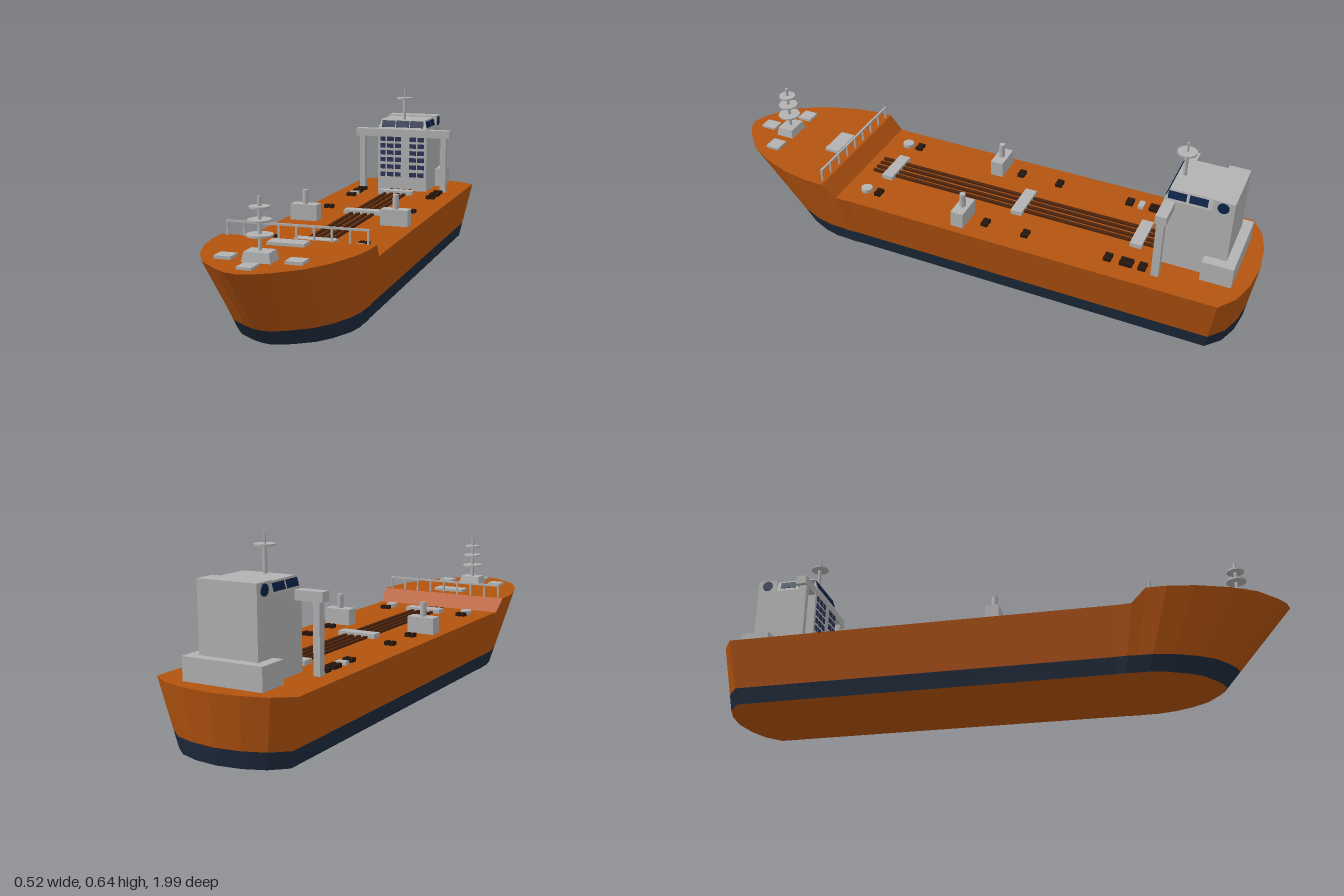
import * as THREE from 'three';

const mat = (name, color) => {
  const m = new THREE.MeshStandardMaterial({ color });
  m.name = name;
  return m;
};

export function createModel() {
  const ship = new THREE.Group();
  ship.name = 'tankerShip';
  const orange = mat('hullOrange', 0xb3530f);
  const navy = mat('lowerHullNavy', 0x1e2a3c);
  const grey = mat('fittingGrey', 0xb2b2b2);
  const brown = mat('pipeBrown', 0x4c240c);
  const dark = mat('bollardDark', 0x27170e);
  const bridgeGlass = mat('bridgeGlass', 0x0b2348);
  const cabinGlass = mat('cabinGlass', 0x2b3358);

  const add = (name, geo, material, x, y, z) => {
    const m = new THREE.Mesh(geo, material);
    m.name = name;
    m.position.set(x, y, z);
    ship.add(m);
    return m;
  };
  // Box given by its centre in x and z and its bottom and top heights
  const box = (name, material, x, z, w, d, y0, y1) =>
    add(name, new THREE.BoxGeometry(w, y1 - y0, d), material, x, (y0 + y1) / 2, z);
  const post = (name, material, x, z, r, y0, y1, sides = 12) =>
    add(name, new THREE.CylinderGeometry(r, r, y1 - y0, sides), material, x, (y0 + y1) / 2, z);

  // Hull: stations [z, half width, height] along the deck edge, stern to bow
  const deck = 0.222, fore = 0.27, water = 0.055;
  const stations = [
    [-1, 0, deck], [-0.99, 0.1, deck], [-0.965, 0.185, deck], [-0.92, 0.248, deck],
    [0.43, 0.248, deck], [0.48, 0.251, deck], [0.53, 0.258, fore], [0.6, 0.257, fore],
    [0.69, 0.241, fore], [0.8, 0.203, fore], [0.885, 0.155, fore], [0.95, 0.085, fore],
    [0.98, 0.042, fore], [0.993, 0, fore],
  ];
  const rings = stations.map(([z, x, y]) => {
    const top = new THREE.Vector3(x, y, z);
    const zb = z < -0.9 ? z + 0.03 : z > 0.4 ? 0.4 + (z - 0.4) * 0.607 : z;
    const bottom = new THREE.Vector3(x * (y === deck ? 0.806 : 0.775), 0, zb);
    return { top, bottom, mid: bottom.clone().lerp(top, water / y) };
  });
  const mirror = (v) => new THREE.Vector3(-v.x, v.y, v.z);
  const strips = (name, material, makeQuads) => {
    const pos = [];
    const quad = (a, b, c, d) => [a, b, c, a, c, d].forEach((v) => pos.push(v.x, v.y, v.z));
    for (let i = 0; i < rings.length - 1; i++) makeQuads(quad, rings[i], rings[i + 1]);
    const g = new THREE.BufferGeometry();
    g.setAttribute('position', new THREE.Float32BufferAttribute(pos, 3));
    g.computeVertexNormals();
    add(name, g, material, 0, 0, 0);
  };
  const sides = (quad, p, q, lo, hi) => {
    quad(p[lo], p[hi], q[hi], q[lo]);
    quad(mirror(q[lo]), mirror(q[hi]), mirror(p[hi]), mirror(p[lo]));
  };
  strips('upperHull', orange, (quad, p, q) => sides(quad, p, q, 'mid', 'top'));
  strips('deck', orange, (quad, p, q) => quad(mirror(p.top), mirror(q.top), q.top, p.top));
  strips('lowerHull', navy, (quad, p, q) => sides(quad, p, q, 'bottom', 'mid'));
  strips('hullBottom', orange, (quad, p, q) =>
    quad(p.bottom, q.bottom, mirror(q.bottom), mirror(p.bottom)));

  // Accommodation tower
  box('tower', grey, 0, -0.789, 0.208, 0.228, deck, 0.477);
  box('towerRearTop', grey, 0, -0.867, 0.208, 0.072, 0.477, 0.522);
  box('rearHouse', grey, 0, -0.883, 0.28, 0.106, deck, 0.297);

  // Bridge, tapering towards its roof
  const bridge = new THREE.BoxGeometry(0.208, 0.04, 0.156);
  const bp = bridge.attributes.position;
  for (let i = 0; i < bp.count; i++) {
    if (bp.getY(i) < 0) continue;
    bp.setX(i, bp.getX(i) * 0.9);
    if (bp.getZ(i) > 0) bp.setZ(i, bp.getZ(i) - 0.014);
  }
  bridge.computeVertexNormals();
  add('bridge', bridge, grey, 0, 0.497, -0.753);
  for (const x of [-0.06, 0, 0.06]) {
    const w = add('bridgeFrontWindow', new THREE.BoxGeometry(0.056, 0.028, 0.004), bridgeGlass, x, 0.499, -0.682);
    w.rotation.x = -Math.atan(0.014 / 0.04);
  }
  for (const s of [-1, 1]) {
    for (const z of [-0.717, -0.787]) {
      const w = add('bridgeSideWindow', new THREE.BoxGeometry(0.004, 0.026, 0.06), bridgeGlass, s * 0.0985, 0.498, z);
      w.rotation.z = s * Math.atan(0.0104 / 0.04);
    }
    const port = add('roundWindow', new THREE.CylinderGeometry(0.019, 0.019, 0.004, 12), bridgeGlass, s * 0.105, 0.499, -0.867);
    port.rotation.z = Math.PI / 2;
    box('wingPost', grey, s * 0.173, -0.692, 0.023, 0.026, deck, 0.447);
  }
  box('bridgeWing', grey, 0, -0.695, 0.4, 0.037, 0.446, 0.477);

  // Cabin windows: [centre, width] for each column
  for (const y of [0.437, 0.409, 0.38, 0.351, 0.321, 0.289])
    for (const [x, w] of [[-0.082, 0.02], [-0.05, 0.028], [-0.017, 0.024], [0.046, 0.028], [0.08, 0.028]])
      box('cabinWindow', cabinGlass, x, -0.674, w, 0.004, y - 0.009, y + 0.009);

  // Radar mast on the tower
  post('radarMast', grey, 0, -0.71, 0.007, 0.51, 0.604);
  post('radarMastTip', grey, 0, -0.71, 0.0035, 0.604, 0.641);
  post('radarDisc', grey, 0, -0.71, 0.033, 0.601, 0.607);

  // Foremast with platforms
  const base = new THREE.CylinderGeometry(0.055, 0.064, 0.03, 4).rotateY(Math.PI / 4);
  base.scale(1, 1, 0.75);
  add('foremastBase', base.toNonIndexed(), grey, 0, 0.285, 0.825).geometry.computeVertexNormals();
  post('foremast', grey, 0, 0.825, 0.006, 0.29, 0.458);
  for (const [y, r] of [[0.345, 0.041], [0.388, 0.036], [0.426, 0.031]])
    post('foremastPlatform', grey, 0, 0.825, r, y - 0.003, y + 0.003, 10);

  // Forecastle railing and hatches
  box('railTop', grey, 0, 0.54, 0.474, 0.007, 0.312, 0.319);
  for (let i = 0; i <= 8; i++) box('railPost', grey, -0.234 + i * 0.0585, 0.54, 0.006, 0.006, fore, 0.315);
  box('bowHatch', grey, 0, 0.915, 0.047, 0.057, fore, 0.278);
  box('foreHatch', grey, 0, 0.607, 0.122, 0.055, fore, 0.28);

  // Cargo pipes and crossing platforms
  for (const x of [-0.04, -0.014, 0.014, 0.04])
    box('cargoPipe', brown, x, -0.115, 0.012, 1.11, deck, 0.23);
  for (const z of [0.367, -0.15, -0.59])
    box('pipePlatform', grey, 0, z, 0.142, 0.042, deck, 0.238);

  // Paired deck fittings
  for (const s of [-1, 1]) {
    box('bowSideHatch', grey, s * 0.11, 0.82, 0.054, 0.052, fore, 0.28);
    box('ventHouse', grey, s * 0.169, 0.01, 0.1, 0.047, deck, 0.28);
    post('ventPipe', grey, s * 0.169, 0.01, 0.011, 0.28, 0.331);
    post('tankHatch', grey, s * 0.161, 0.4, 0.021, deck, 0.236);
    const rows = [[0.35, 0.024], [-0.075, 0.024], [-0.225, 0.024], [-0.59, 0.044], [-0.645, 0.026], [s < 0 ? -0.495 : -0.525, 0.026]];
    for (const [z, d] of rows)
      for (const dx of [-0.01, 0.01]) box('bollard', dark, s * 0.162 + dx, z, 0.014, d, deck, 0.235);
  }
  box('smallHatch', grey, -0.162, -0.538, 0.036, 0.02, deck, 0.234);

  return ship;
}
